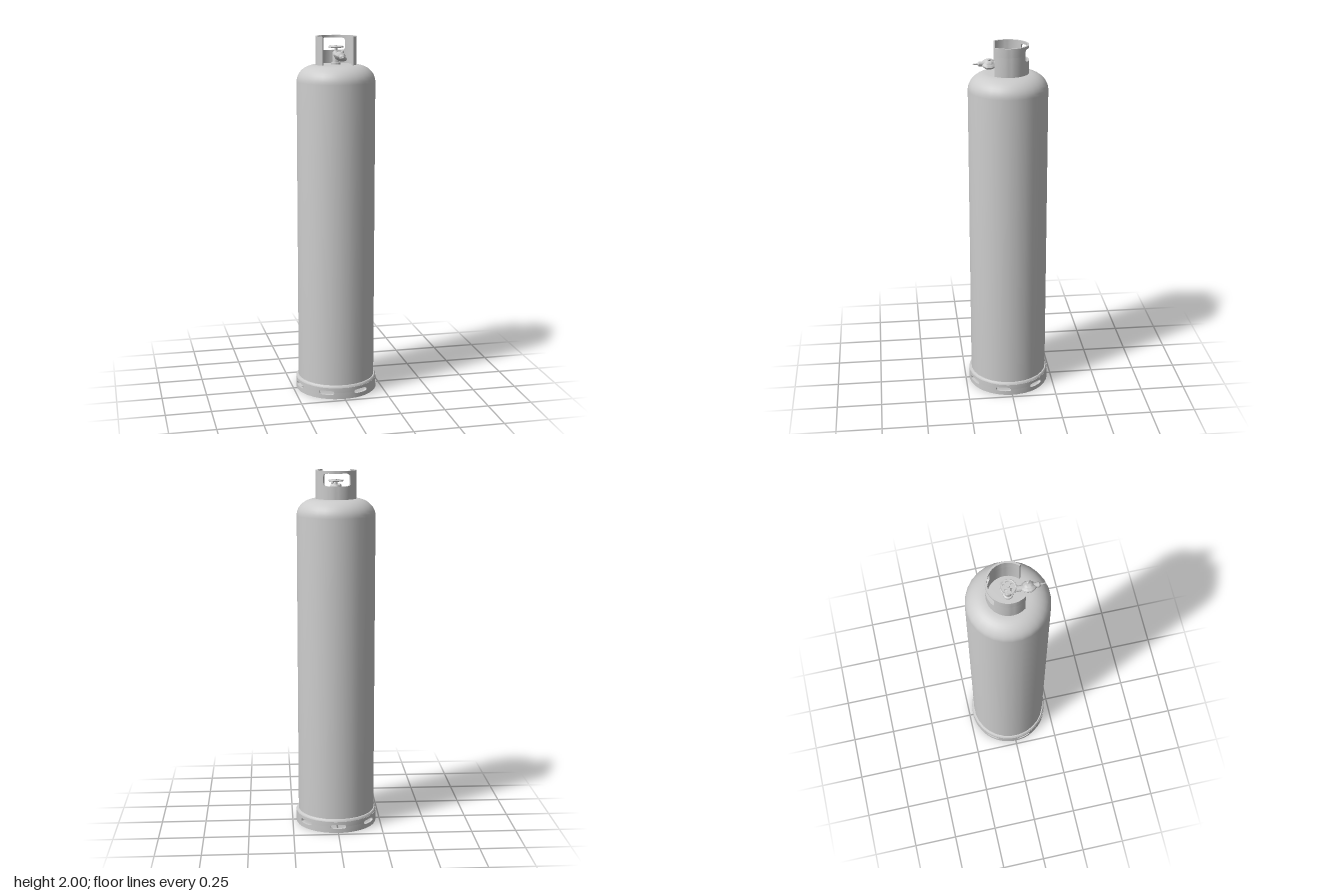
import * as THREE from 'three';
import { toCreasedNormals } from 'three/addons/utils/BufferGeometryUtils.js';

const SIDES = 28;
const material = new THREE.MeshStandardMaterial({ color: 0xcccccc });

function part(name, geometry, parent, crease = 0.6) {
  const mesh = new THREE.Mesh(toCreasedNormals(geometry, crease), material);
  mesh.name = name;
  parent.add(mesh);
  return mesh;
}

// Profile of [radius, y] pairs, listed from the bottom up, turned around y
function turned(profile, sides = SIDES) {
  const points = profile.map(([r, y]) => new THREE.Vector2(r, y));
  return new THREE.LatheGeometry(points, sides, Math.PI / sides);
}

// Curved wall strip whose lower and upper edges follow functions of the angle
function curvedStrip(inner, outer, angles, low, high) {
  const positions = [], index = [];
  angles.forEach((a, i) => {
    const section = [[inner, low(a)], [outer, low(a)], [outer, high(a)], [inner, high(a)]];
    section.forEach(([r, y]) => positions.push(r * Math.sin(a), y, r * Math.cos(a)));
    if (i === angles.length - 1) return;
    for (let k = 0; k < 4; k++) {
      const p = i * 4 + k, q = i * 4 + (k + 1) % 4;
      index.push(p, p + 4, q + 4, p, q + 4, q);
    }
  });
  const e = (angles.length - 1) * 4;
  index.push(0, 1, 2, 0, 2, 3, e, e + 2, e + 1, e, e + 3, e + 2);
  const geometry = new THREE.BufferGeometry();
  geometry.setAttribute('position', new THREE.Float32BufferAttribute(positions, 3));
  geometry.setIndex(index);
  return geometry;
}

// Wall with rounded openings: one strip below them and one above
function piercedWall(name, parent, o) {
  const angles = [];
  for (let i = 0; i <= o.segments; i++) angles.push(o.start + (o.end - o.start) * i / o.segments);
  for (const c of o.centres) {
    for (const t of [0, 0.3, 0.6, 0.8, 0.9, 0.96, 0.99, 1]) {
      angles.push(c + t * o.halfAngle, c - t * o.halfAngle);
    }
  }
  angles.sort((a, b) => a - b);
  const clean = angles.filter((a, i) => i === 0 || a - angles[i - 1] > 1e-4);
  const gap = (a) => {
    const t = Math.min(...o.centres.map((c) => Math.abs(a - c))) / o.halfAngle;
    return t >= 0.9999 ? 0 : o.halfHeight * (1 - t ** o.power) ** (1 / o.power);
  };
  part(name + 'Lower', curvedStrip(o.inner, o.outer, clean, () => o.bottom, (a) => o.middle - gap(a)), parent);
  part(name + 'Upper', curvedStrip(o.inner, o.outer, clean, (a) => o.middle + gap(a), () => o.top), parent);
}

// Cylinder lying along z from z0 to z1
function zTube(r0, r1, z0, z1, y, sides = 16) {
  return new THREE.CylinderGeometry(r1, r0, z1 - z0, sides)
    .rotateX(Math.PI / 2).translate(0, y, (z0 + z1) / 2);
}

export function createModel() {
  const model = new THREE.Group();
  model.name = 'gasCylinder';

  // Tank with an elliptical shoulder and flat top
  const tank = [[0, 0.058], [0.216, 0.058], [0.216, 1.755]];
  for (let i = 1; i <= 10; i++) {
    const a = i / 10 * Math.PI / 2;
    tank.push([0.108 + 0.108 * Math.cos(a), 1.755 + 0.092 * Math.sin(a)]);
  }
  tank.push([0, 1.848]);
  part('tank', turned(tank), model);

  // Foot ring with seven slots and a rounded top lip
  const foot = new THREE.Group();
  foot.name = 'footRing';
  model.add(foot);
  const slots = [];
  for (let i = 0; i < 7; i++) slots.push(Math.PI * (2 * i + 1) / 7);
  piercedWall('footWall', foot, {
    inner: 0.217, outer: 0.229, start: Math.PI / SIDES, end: Math.PI * (2 + 1 / SIDES), segments: SIDES,
    bottom: 0, top: 0.064, middle: 0.036, halfHeight: 0.012, halfAngle: 0.19, power: 3.5, centres: slots,
  });
  part('footLip', turned([[0.229, 0.063], [0.227, 0.071], [0.222, 0.076], [0.214, 0.077]]), foot);

  // Guard collar, open at the front with a hand window at the back
  const collar = new THREE.Group();
  collar.name = 'collar';
  model.add(collar);
  piercedWall('collarWall', collar, {
    inner: 0.102, outer: 0.112, start: 0.77, end: 2 * Math.PI - 0.93, segments: 32,
    bottom: 1.84, top: 2, middle: 1.952, halfHeight: 0.034, halfAngle: 0.72, power: 7, centres: [Math.PI],
  });

  // Valve body, spindle and outlet
  const valve = new THREE.Group();
  valve.name = 'valve';
  model.add(valve);
  part('valveBody', turned([[0.026, 1.845], [0.026, 1.858], [0.018, 1.862], [0.018, 1.912],
    [0.013, 1.92], [0.008, 1.922], [0.008, 1.946], [0, 1.946]], 16), valve);
  part('outlet', zTube(0.015, 0.015, 0, 0.075, 1.897), valve);

  // Handwheel with five openings
  const disc = new THREE.Shape().absarc(0, 0, 0.038, 0, Math.PI * 2);
  for (let i = 0; i < 5; i++) {
    const a = i * Math.PI * 2 / 5;
    disc.holes.push(new THREE.Path().absellipse(
      0.022 * Math.cos(a), 0.022 * Math.sin(a), 0.008, 0.01, 0, Math.PI * 2, true, a));
  }
  const wheel = new THREE.ExtrudeGeometry(disc, { depth: 0.006, bevelEnabled: false, curveSegments: 10 });
  part('handwheel', wheel.rotateX(-Math.PI / 2).translate(0, 1.94, 0), valve);
  part('handwheelRim', new THREE.TorusGeometry(0.0375, 0.0045, 8, 28)
    .rotateX(Math.PI / 2).translate(0, 1.943, 0), valve, 1);
  part('handwheelHub', new THREE.CylinderGeometry(0.006, 0.008, 0.012, 12).translate(0, 1.944, 0), valve);

  // Regulator: a tilted round housing on a pipe, ending in a hose nozzle
  const regulator = new THREE.Group();
  regulator.name = 'regulator';
  model.add(regulator);
  const housing = part('regulatorHousing', turned([[0, -0.022], [0.016, -0.021], [0.028, -0.014], [0.036, -0.008],
    [0.039, -0.004], [0.039, 0.004], [0.035, 0.009], [0.026, 0.013], [0.021, 0.021], [0.013, 0.025], [0, 0.026]], 24), regulator);
  const knob = part('regulatorKnob', turned([[0.008, 0.024], [0.008, 0.032], [0.005, 0.036], [0, 0.036]], 12), regulator);
  for (const mesh of [housing, knob]) {
    mesh.position.set(0, 1.896, 0.102);
    mesh.rotation.z = -0.45;
  }
  part('regulatorPipe', zTube(0.014, 0.014, 0.07, 0.155, 1.897), regulator);
  part('pipeEnd', zTube(0.014, 0.008, 0.155, 0.162, 1.897), regulator);
  part('hoseNozzle', zTube(0.006, 0.002, 0.16, 0.19, 1.897, 10), regulator);

  return model;
}
